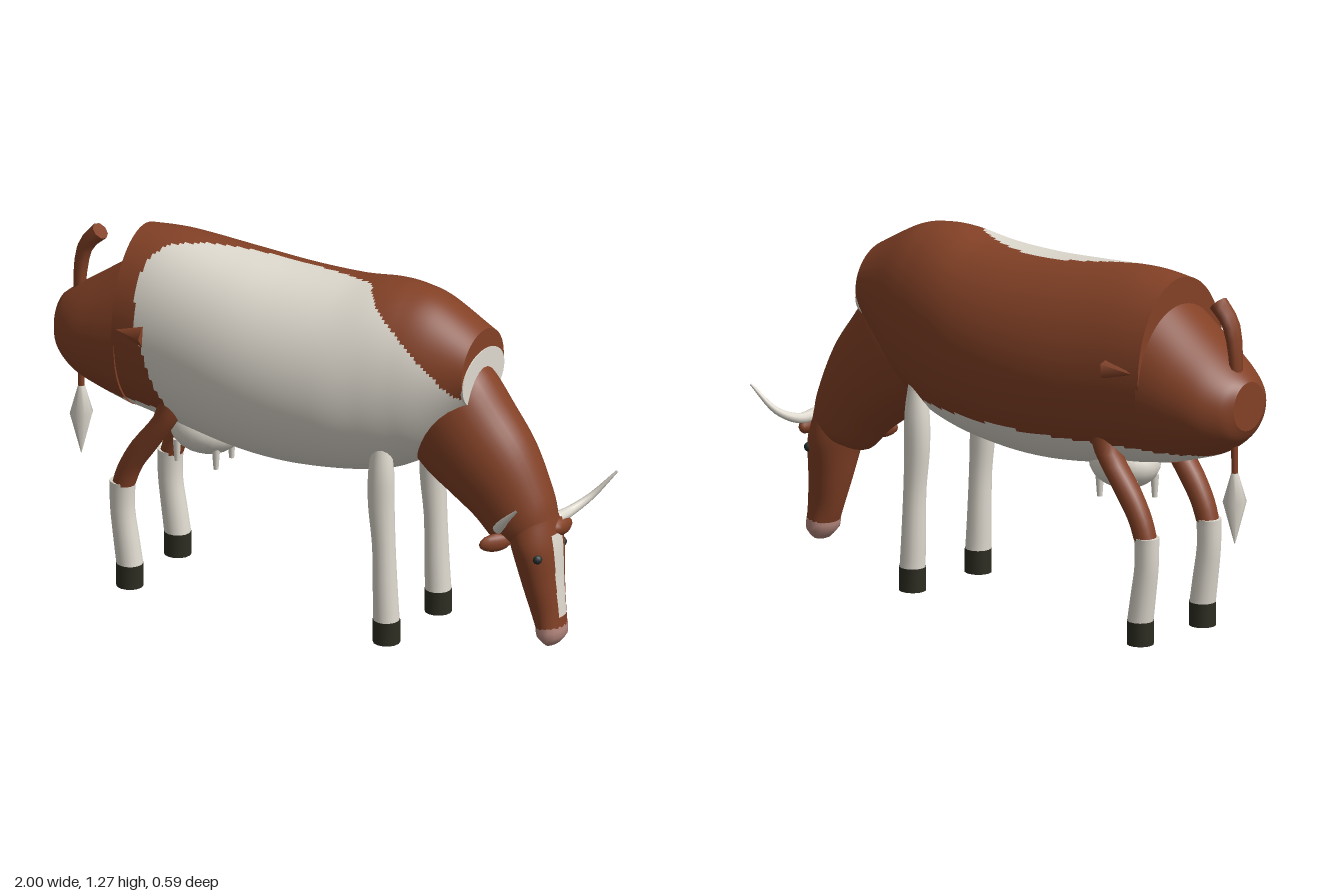
import * as THREE from 'three';

const flat = (name, color) => {
  const m = new THREE.MeshStandardMaterial({ color });
  m.name = name;
  return m;
};
const brown = flat('brown coat', 0x834126);
const white = flat('white coat', 0xdfdacf);
const dark = flat('dark hoof', 0x2d2d22);
const pink = flat('pink muzzle', 0xb5877d);
const black = flat('eye black', 0x242e2c);

const spline = (a, b, c, d, t) =>
  0.5 * (2 * b + (c - a) * t + (2 * a - 5 * b + 4 * c - d) * t * t + (3 * b - a - 3 * c + d) * t * t * t);

// Capped loft through oval sections [topX, topY, bottomX, bottomY, halfWidth];
// pick(x, y, z) sends a face to the second material.
function loft(sections, cols, steps, pick = () => false) {
  const n = sections.length, pos = [], lists = [[], []];
  const rings = [];
  for (let k = 0; k < n - 1; k++) {
    const q = [k - 1, k, k + 1, k + 2].map(i => sections[Math.min(n - 1, Math.max(0, i))]);
    for (let s = 0; s < steps; s++) rings.push(q[0].map((_, i) => spline(q[0][i], q[1][i], q[2][i], q[3][i], s / steps)));
  }
  rings.push(sections[n - 1]);
  const addRing = ([tx, ty, bx, by, w]) => {
    for (let j = 0; j < cols; j++) {
      const a = (j / cols) * Math.PI * 2, c = Math.cos(a) / 2;
      pos.push((tx + bx) / 2 + c * (tx - bx), (ty + by) / 2 + c * (ty - by), w * Math.sin(a));
    }
  };
  const face = (...ids) => {
    const mid = [0, 1, 2].map(e => ids.reduce((sum, i) => sum + pos[i * 3 + e], 0) / ids.length);
    const list = lists[pick(...mid) ? 1 : 0];
    list.push(ids[0], ids[1], ids[2]);
    if (ids.length === 4) list.push(ids[0], ids[2], ids[3]);
  };
  rings.forEach(addRing);
  for (let i = 0; i < rings.length - 1; i++) {
    for (let j = 0; j < cols; j++) {
      const a = i * cols, b = a + cols, k = (j + 1) % cols;
      face(a + j, a + k, b + k, b + j);
    }
  }
  for (const [r, end] of [[rings[0], false], [rings[rings.length - 1], true]]) {
    const base = pos.length / 3, centre = base + cols;
    addRing(r);
    pos.push((r[0] + r[2]) / 2, (r[1] + r[3]) / 2, 0);
    for (let j = 0; j < cols; j++) {
      const k = (j + 1) % cols;
      if (end) face(centre, base + j, base + k);
      else face(centre, base + k, base + j);
    }
  }
  const g = new THREE.BufferGeometry();
  g.setAttribute('position', new THREE.Float32BufferAttribute(pos, 3));
  g.setIndex([...lists[0], ...lists[1]]);
  g.addGroup(0, lists[0].length, 0);
  g.addGroup(lists[0].length, lists[1].length, 1);
  g.computeVertexNormals();
  return g;
}

// Tube along a curve, narrowing from r0 to r1
function taperTube(points, r0, r1) {
  const curve = new THREE.CatmullRomCurve3(points.map(p => new THREE.Vector3(...p)));
  const segs = 14, sides = 10;
  const g = new THREE.TubeGeometry(curve, segs, r0, sides);
  const p = g.attributes.position, v = new THREE.Vector3();
  for (let i = 0; i < p.count; i++) {
    const t = Math.floor(i / (sides + 1)) / segs, c = curve.getPointAt(t);
    v.fromBufferAttribute(p, i).sub(c).multiplyScalar(1 + (r1 / r0 - 1) * t).add(c);
    p.setXYZ(i, v.x, v.y, v.z);
  }
  return g;
}

// Piecewise linear lookup through [y, x] pairs in rising y
function lookup(table, y) {
  if (y <= table[0][0]) return table[0][1];
  for (let i = 1; i < table.length; i++) {
    const [y0, x0] = table[i - 1], [y1, x1] = table[i];
    if (y <= y1) return x0 + ((x1 - x0) * (y - y0)) / (y1 - y0);
  }
  return table[table.length - 1][1];
}

// White belly all round, and a large white patch on the left flank
const patchBack = [[0.68, -0.49], [0.8, -0.54], [0.9, -0.57], [1, -0.61], [1.15, -0.62], [1.22, -0.6], [1.27, -0.53]];
const patchFront = [[0.93, 0.62], [0.96, 0.57], [1.03, 0.5], [1.15, 0.36], [1.25, 0.21]];
const coat = (x, y, z) =>
  y < 0.68 ||
  (z > Math.min(0.08, 0.73 * (x + 0.13) ** 2 - 0.04) && x > lookup(patchBack, y) && x < lookup(patchFront, y));

export function createModel() {
  const root = new THREE.Group();
  root.name = 'cow';
  const add = (name, geometry, material, x = 0, y = 0, z = 0) => {
    const m = new THREE.Mesh(geometry, material);
    m.name = name;
    m.position.set(x, y, z);
    root.add(m);
    return m;
  };

  // Trunk: [x, top, bottom, half width]
  const upright = rows => rows.map(([x, t, b, w]) => [x, t, x, b, w]);
  add('barrel', loft(upright([
    [-0.70, 1.262, 0.615, 0.226], [-0.55, 1.27, 0.59, 0.25], [-0.3, 1.25, 0.547, 0.285],
    [-0.1, 1.237, 0.535, 0.295], [0.1, 1.24, 0.55, 0.284], [0.25, 1.26, 0.577, 0.257],
    [0.35, 1.258, 0.615, 0.234], [0.45, 1.233, 0.685, 0.206], [0.605, 1.145, 0.87, 0.15],
  ]), 144, 16, coat), [brown, white]);
  add('rump', loft(upright([
    [-1, 0.95, 0.78, 0.08], [-0.97, 0.975, 0.735, 0.127], [-0.9, 1.025, 0.685, 0.175],
    [-0.8, 1.095, 0.648, 0.206], [-0.69, 1.175, 0.614, 0.228],
  ]), 96, 8, coat), [brown, white]);
  add('shoulderBand', loft(upright([[0.6, 1.075, 0.88, 0.147], [0.609, 1.075, 0.88, 0.147]]), 40, 1), white);

  // Neck, head and muzzle
  add('neck', loft([
    [0.52, 1.06, 0.34, 0.68, 0.145], [0.61, 1.01, 0.42, 0.6, 0.156], [0.7, 0.89, 0.52, 0.53, 0.15],
    [0.79, 0.76, 0.6, 0.47, 0.135], [0.86, 0.6, 0.67, 0.4, 0.115], [0.88, 0.52, 0.72, 0.4, 0.1],
  ], 32, 5), brown);
  const blaze = (x, y, z) => Math.abs(z) < 0.023 + 0.022 * y && y > 0.16 && y < 0.46 && x > 0.85;
  add('head', loft([
    [0.88, 0.52, 0.71, 0.47, 0.1], [0.9, 0.42, 0.735, 0.4, 0.11], [0.907, 0.3, 0.77, 0.27, 0.087],
    [0.915, 0.2, 0.8, 0.17, 0.069], [0.92, 0.125, 0.82, 0.115, 0.066],
  ], 160, 14, blaze), [brown, white]);
  add('muzzle', loft([
    [0.92, 0.13, 0.82, 0.12, 0.067], [0.922, 0.09, 0.825, 0.085, 0.068], [0.9, 0.06, 0.855, 0.052, 0.04],
  ], 16, 2), pink);
  for (const s of [1, -1]) add('eye', new THREE.SphereGeometry(0.017, 12, 8), black, 0.863, 0.39, s * 0.087);

  // Ears and horns, with the crown turned a little to one side
  const ear = (name, p, r, rot) => {
    const m = add(name, new THREE.SphereGeometry(1, 12, 8), brown, ...p);
    m.scale.set(...r);
    m.rotation.set(...rot);
  };
  ear('leftEar', [0.72, 0.435, 0.12], [0.02, 0.032, 0.06], [0, -0.7, 0]);
  ear('rightEar', [0.88, 0.465, -0.05], [0.025, 0.033, 0.066], [-0.15, 0, 0]);
  add('rightHorn', taperTube([[0.87, 0.495, -0.04], [0.88, 0.495, -0.12], [0.92, 0.53, -0.19], [0.995, 0.62, -0.236]], 0.023, 0.004), white);
  add('leftHorn', taperTube([[0.72, 0.48, 0.1], [0.76, 0.525, 0.13], [0.82, 0.585, 0.15]], 0.02, 0.004), white);

  // Legs: [x, y, half depth, half width]
  const limb = rows => loft(rows.map(([x, y, rx, rz]) => [x + rx, y, x - rx, y, rz]), 14, 3);
  const foreLeg = limb([
    [0.3, 0.73, 0.03, 0.03], [0.3, 0.62, 0.045, 0.042], [0.3, 0.5, 0.046, 0.042],
    [0.31, 0.35, 0.04, 0.04], [0.315, 0.2, 0.042, 0.043], [0.32, 0.08, 0.045, 0.045],
  ]);
  const thigh = limb([
    [-0.5, 0.74, 0.05, 0.045], [-0.525, 0.65, 0.045, 0.047], [-0.61, 0.53, 0.05, 0.045],
    [-0.665, 0.44, 0.043, 0.042], [-0.69, 0.37, 0.04, 0.04],
  ]);
  const shank = limb([
    [-0.695, 0.38, 0.045, 0.042], [-0.695, 0.28, 0.043, 0.04], [-0.68, 0.17, 0.045, 0.043], [-0.667, 0.08, 0.046, 0.045],
  ]);
  const hoof = limb([[0, 0.083, 0.047, 0.046], [0, 0, 0.047, 0.046]]);
  for (const s of [1, -1]) {
    const dx = s > 0 ? 0 : 0.03, z = s * 0.155;
    add('frontLeg', foreLeg, white, dx, 0, z);
    add('frontHoof', hoof, dark, 0.32 + dx, 0, z);
    add('hindThigh', thigh, brown, dx / 2, 0, z);
    add('hindShank', shank, white, dx / 2, 0, z);
    add('hindHoof', hoof, dark, -0.667 + dx / 2, 0, z);
    // Hip point, aimed backward
    const hip = add('hipPoint', new THREE.ConeGeometry(0.04, 0.11, 5), brown, -0.625, 0.97, s * 0.235);
    hip.rotation.z = Math.PI / 2;
  }

  // Udder with four teats
  const udder = add('udder', new THREE.SphereGeometry(1, 20, 14), white, -0.455, 0.57, 0);
  udder.scale.set(0.13, 0.09, 0.11);
  for (const x of [-0.54, -0.39])
    for (const z of [-0.055, 0.055]) add('teat', new THREE.CylinderGeometry(0.015, 0.009, 0.08, 8), white, x, 0.487, z);

  // Tail and tassel
  add('tail', loft([
    [-0.842, 1.182, -0.888, 1.226, 0.034], [-0.9, 1.12, -0.95, 1.14, 0.033], [-0.925, 0.98, -0.965, 0.98, 0.025],
    [-0.925, 0.8, -0.95, 0.8, 0.014], [-0.927, 0.6, -0.95, 0.6, 0.011],
  ], 8, 3), brown);
  const tuft = [[0.001, 0.37], [0.041, 0.52], [0.012, 0.62]].map(p => new THREE.Vector2(...p));
  add('tailTassel', new THREE.LatheGeometry(tuft, 8), white, -0.938, 0, 0);

  return root;
}
